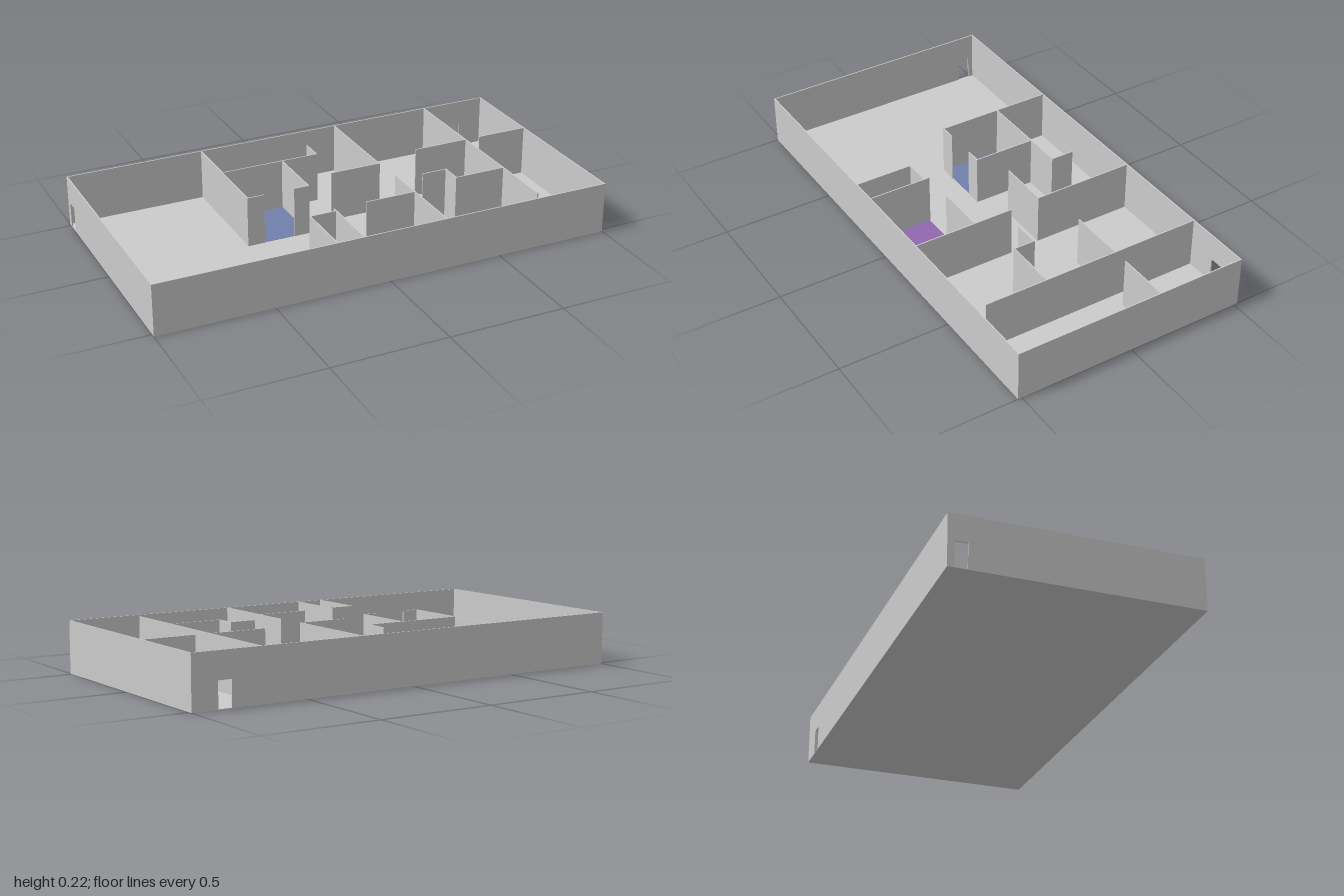
import * as THREE from 'three';

const W = 1, D = 0.517, H = 0.222; // half width, half depth, wall height
const T = 0.005;                   // wall thickness
const FLOOR = 0.002;

const grey = new THREE.MeshStandardMaterial({ color: 0xcccccc });
const blue = new THREE.MeshStandardMaterial({ color: 0x707fac });
const purple = new THREE.MeshStandardMaterial({ color: 0x9068ae });

export function createModel() {
  const group = new THREE.Group();

  const add = (name, geometry, material = grey) => {
    const mesh = new THREE.Mesh(geometry, material);
    mesh.name = name;
    group.add(mesh);
    return mesh;
  };

  // Flat slab covering x0..x1, z0..z1
  const slab = (name, x0, x1, z0, z1, y0, y1, material) =>
    add(name, new THREE.BoxGeometry(x1 - x0, y1 - y0, z1 - z0), material)
      .position.set((x0 + x1) / 2, (y0 + y1) / 2, (z0 + z1) / 2);

  // Upright wall panel, centred on its width, with an optional doorway
  const panel = (half, door) => {
    const s = new THREE.Shape();
    s.moveTo(-half, 0);
    if (door) {
      s.lineTo(door[0], 0);
      s.lineTo(door[0], door[2]);
      s.lineTo(door[1], door[2]);
      s.lineTo(door[1], 0);
    }
    s.lineTo(half, 0);
    s.lineTo(half, H);
    s.lineTo(-half, H);
    return new THREE.ExtrudeGeometry(s, { depth: T, bevelEnabled: false });
  };

  // Floors
  slab('floor', -W, W, -D, D, 0, FLOOR, grey);
  slab('blueRoomFloor', -0.395, -0.12, -0.272, 0, FLOOR, FLOOR + 0.001, blue);
  slab('purpleRoomFloor', -0.115, 0.25, 0.24, D - T, FLOOR, FLOOR + 0.001, purple);

  // Outer walls, with doorways in the back and in one end
  add('frontWall', panel(W)).position.z = D - T;
  add('backWall', panel(W, [0.83, 0.888, 0.11])).position.z = -D;
  const end = add('rightEndWall', panel(D, [0.437, 0.49, 0.11]));
  end.rotation.y = Math.PI / 2;
  end.position.x = -W;
  const otherEnd = add('leftEndWall', panel(D));
  otherEnd.rotation.y = Math.PI / 2;
  otherEnd.position.x = W - T;

  // Partitions: start x, z and end x, z
  const partitions = {
    blueRoom: [
      [-0.395, -D, -0.395, 0],
      [-0.395, -0.272, 0.043, -0.272],
      [0.043, -0.37, 0.043, -0.272],
      [-0.12, -0.272, -0.12, 0],
      [-0.395, 0, -0.325, 0],
      [-0.185, 0, -0.12, 0],
    ],
    backRoom: [
      [0.243, -D, 0.243, -0.07],
      [0.02, -0.07, 0.243, -0.07],
    ],
    purpleRoom: [
      [0.251, 0.07, 0.251, D],
      [0.03, 0.24, 0.251, 0.24],
      [-0.117, 0.24, -0.117, D],
    ],
    closet: [
      [-0.233, 0.26, -0.233, D],
      [-0.233, 0.26, -0.117, 0.26],
    ],
    sideRooms: [
      [0.7, -D, 0.7, 0.468],
      [0.453, -0.128, 0.7, -0.128],
      [0.77, -0.128, W, -0.128],
      [0.363, 0.103, 0.472, 0.103],
      [0.472, 0.103, 0.472, 0.195],
      [0.472, 0.195, 0.7, 0.195],
    ],
  };
  const h = T / 2;
  for (const [room, walls] of Object.entries(partitions)) {
    walls.forEach(([x0, z0, x1, z1], i) => {
      slab(`${room}Wall${i + 1}`,
        Math.max(x0 - h, -W), Math.min(x1 + h, W - h),
        Math.max(z0 - h, -D + h), Math.min(z1 + h, D - h), FLOOR, H, grey);
    });
  }
  return group;
}
